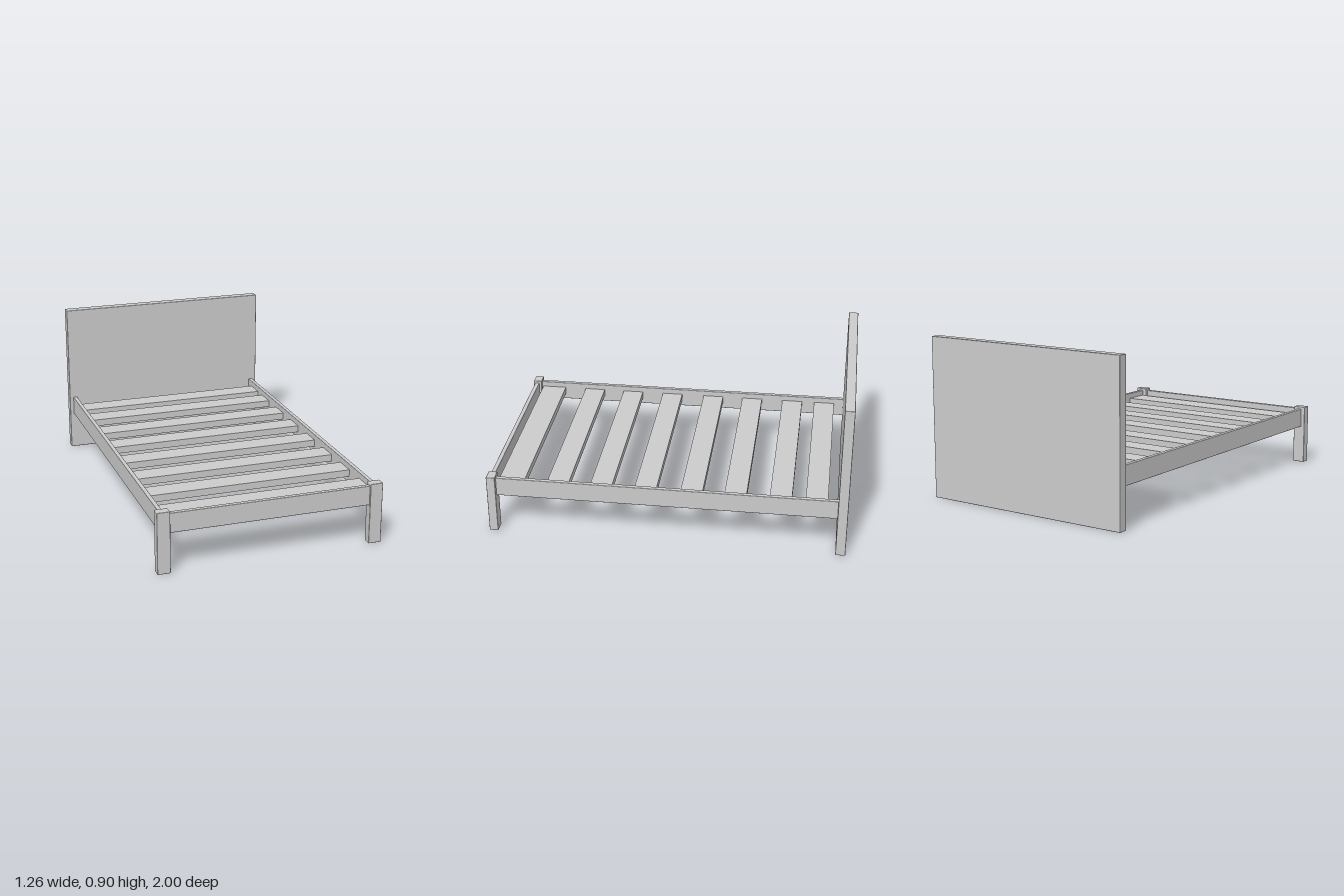
import * as THREE from 'three';
import { RoundedBoxGeometry } from 'three/addons/geometries/RoundedBoxGeometry.js';

const material = new THREE.MeshStandardMaterial({ color: 0xcccccc });

// Box given by its limits on each axis, with optionally eased edges
function board(name, [x0, x1], [y0, y1], [z0, z1], ease = 0) {
  const size = [x1 - x0, y1 - y0, z1 - z0];
  const geometry = ease
    ? new RoundedBoxGeometry(...size, 2, ease)
    : new THREE.BoxGeometry(...size);
  const mesh = new THREE.Mesh(geometry, material);
  mesh.name = name;
  mesh.position.set((x0 + x1) / 2, (y0 + y1) / 2, (z0 + z1) / 2);
  return mesh;
}

export function createModel() {
  const bed = new THREE.Group();
  bed.name = 'bed';

  // Solid headboard reaching the floor
  bed.add(board('headboard', [-0.628, 0.628], [0, 0.9], [-1, -0.945], 0.004));

  // Side rails and front legs, mirrored left and right
  for (const [side, s] of [['left', 1], ['right', -1]]) {
    const span = (a, b) => (s > 0 ? [a, b] : [-b, -a]);
    bed.add(board(side + 'SideRail', span(0.581, 0.605), [0.222, 0.332], [-0.947, 0.953], 0.003));
    bed.add(board(side + 'FrontLeg', span(0.556, 0.628), [0, 0.345], [0.95, 1], 0.004));
  }

  // Foot rail between the front legs
  bed.add(board('footRail', [-0.558, 0.558], [0.222, 0.332], [0.965, 0.99], 0.003));

  // Slats across the side rails, the last one wider
  const slats = new THREE.Group();
  slats.name = 'slats';
  const starts = [-0.889, -0.692, -0.443, -0.2, 0.057, 0.306, 0.55, 0.8];
  starts.forEach((z, i) => {
    const width = i === starts.length - 1 ? 0.144 : 0.122;
    slats.add(board('slat' + (i + 1), [-0.582, 0.582], [0.26, 0.3], [z, z + width]));
  });
  bed.add(slats);

  return bed;
}
